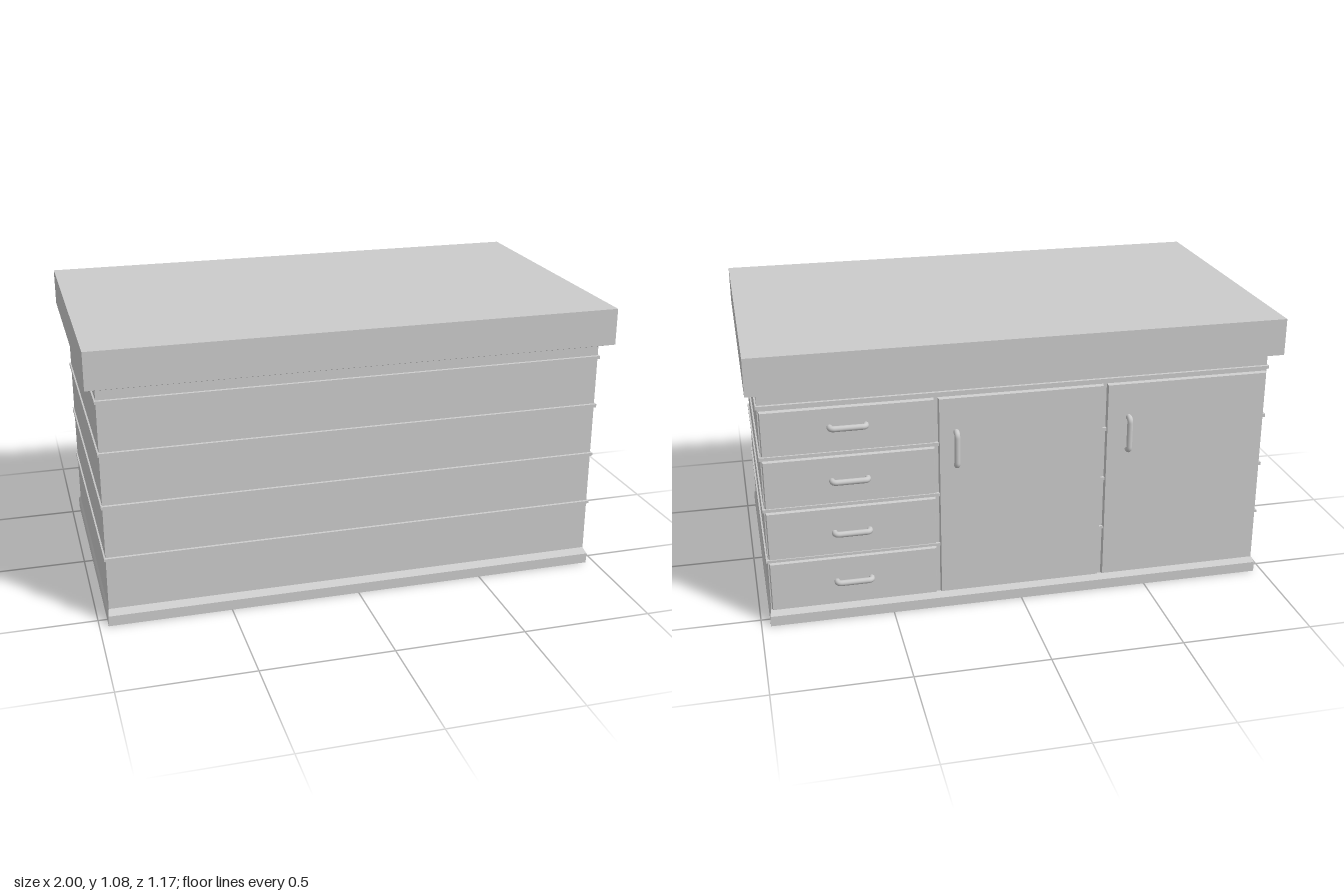
import * as THREE from 'three';

const grey = new THREE.MeshStandardMaterial({ color: 0xcccccc });
const flat = new THREE.MeshStandardMaterial({ color: 0xcccccc, flatShading: true, side: THREE.DoubleSide });

// Sweep a profile of [halfX, y, halfZ] rows around a rectangle
function rectangularLoft(rows, capTop = false) {
  const corners = [[1, 1], [1, -1], [-1, -1], [-1, 1]];
  const positions = [];
  const point = ([hx, y, hz], i) => [corners[i % 4][0] * hx, y, corners[i % 4][1] * hz];
  const quad = (a, b, c, d) => positions.push(...a, ...b, ...c, ...a, ...c, ...d);
  for (let r = 0; r < rows.length - 1; r++) {
    for (let i = 0; i < 4; i++) {
      quad(point(rows[r], i), point(rows[r], i + 1), point(rows[r + 1], i + 1), point(rows[r + 1], i));
    }
  }
  if (capTop) {
    const top = rows[rows.length - 1];
    quad(point(top, 0), point(top, 1), point(top, 2), point(top, 3));
  }
  const geometry = new THREE.BufferGeometry();
  geometry.setAttribute('position', new THREE.Float32BufferAttribute(positions, 3));
  geometry.computeVertexNormals();
  return geometry;
}

function addMesh(parent, name, geometry, material) {
  const mesh = new THREE.Mesh(geometry, material);
  mesh.name = name;
  parent.add(mesh);
  return mesh;
}

// Panel on the back face, its outer edge slightly bevelled
function addPanel(parent, name, x0, x1, y0, y1) {
  const w = x1 - x0, h = y1 - y0, bevel = 0.005;
  const geometry = new THREE.BoxGeometry(w, h, 0.024);
  const p = geometry.attributes.position;
  for (let i = 0; i < p.count; i++) {
    if (p.getZ(i) < 0) {
      p.setX(i, p.getX(i) - Math.sign(p.getX(i)) * bevel);
      p.setY(i, p.getY(i) - Math.sign(p.getY(i)) * bevel);
    }
  }
  geometry.computeVertexNormals();
  addMesh(parent, name, geometry, flat).position.set((x0 + x1) / 2, (y0 + y1) / 2, -0.532);
}

// Bow handle with rounded bends
function addHandle(parent, name, x, y, vertical) {
  const half = 0.065, depth = 0.026, bend = 0.016;
  const v = (a, z) => new THREE.Vector3(a, 0, z);
  const path = new THREE.CurvePath();
  path.add(new THREE.LineCurve3(v(-half, 0.008), v(-half, bend - depth)));
  path.add(new THREE.QuadraticBezierCurve3(v(-half, bend - depth), v(-half, -depth), v(bend - half, -depth)));
  path.add(new THREE.LineCurve3(v(bend - half, -depth), v(half - bend, -depth)));
  path.add(new THREE.QuadraticBezierCurve3(v(half - bend, -depth), v(half, -depth), v(half, bend - depth)));
  path.add(new THREE.LineCurve3(v(half, bend - depth), v(half, 0.008)));
  const handle = addMesh(parent, name, new THREE.TubeGeometry(path, 48, 0.011, 12), grey);
  handle.position.set(x, y, -0.538);
  if (vertical) handle.rotation.z = Math.PI / 2;
}

export function createModel() {
  const group = new THREE.Group();
  group.name = 'counter';

  // Thin open-bottomed carcass: plinth, then walls with projecting mouldings
  const wallX = 0.96, wallZ = 0.528;
  const strips = [[0.256, 0.268], [0.462, 0.476], [0.666, 0.681], [0.864, 0.878]];
  const profile = [[0.966, 0, 0.553], [0.966, 0.04, 0.553], [wallX, 0.058, wallZ]];
  for (const [low, high] of strips) {
    profile.push(
      [wallX, low, wallZ], [wallX + 0.006, low + 0.001, wallZ + 0.009],
      [wallX + 0.006, high - 0.001, wallZ + 0.009], [wallX, high, wallZ]);
  }
  profile.push([wallX, 0.916, wallZ]);
  addMesh(group, 'carcass', rectangularLoft(profile), flat);

  // Worktop with a sloping underside
  addMesh(group, 'worktop', rectangularLoft(
    [[wallX, 0.914, wallZ], [1, 0.934, 0.584], [1, 1.075, 0.584]], true), flat);

  // Four drawers set between the mouldings at the left end of the back
  const levels = [0.058, 0.256, 0.268, 0.462, 0.476, 0.666, 0.681, 0.857];
  const handleHeights = [0.157, 0.36, 0.57, 0.78];
  for (let i = 0; i < 4; i++) {
    addPanel(group, 'drawer', 0.327, 0.958, levels[2 * i], levels[2 * i + 1]);
    addHandle(group, 'drawerHandle', 0.645, handleHeights[i], false);
  }

  // Two tall doors
  for (const [x0, x1, hx] of [[-0.313, 0.317, 0.25], [-0.958, -0.323, -0.41]]) {
    addPanel(group, 'door', x0, x1, 0.058, 0.857);
    addHandle(group, 'doorHandle', hx, 0.655, true);
  }
  return group;
}
